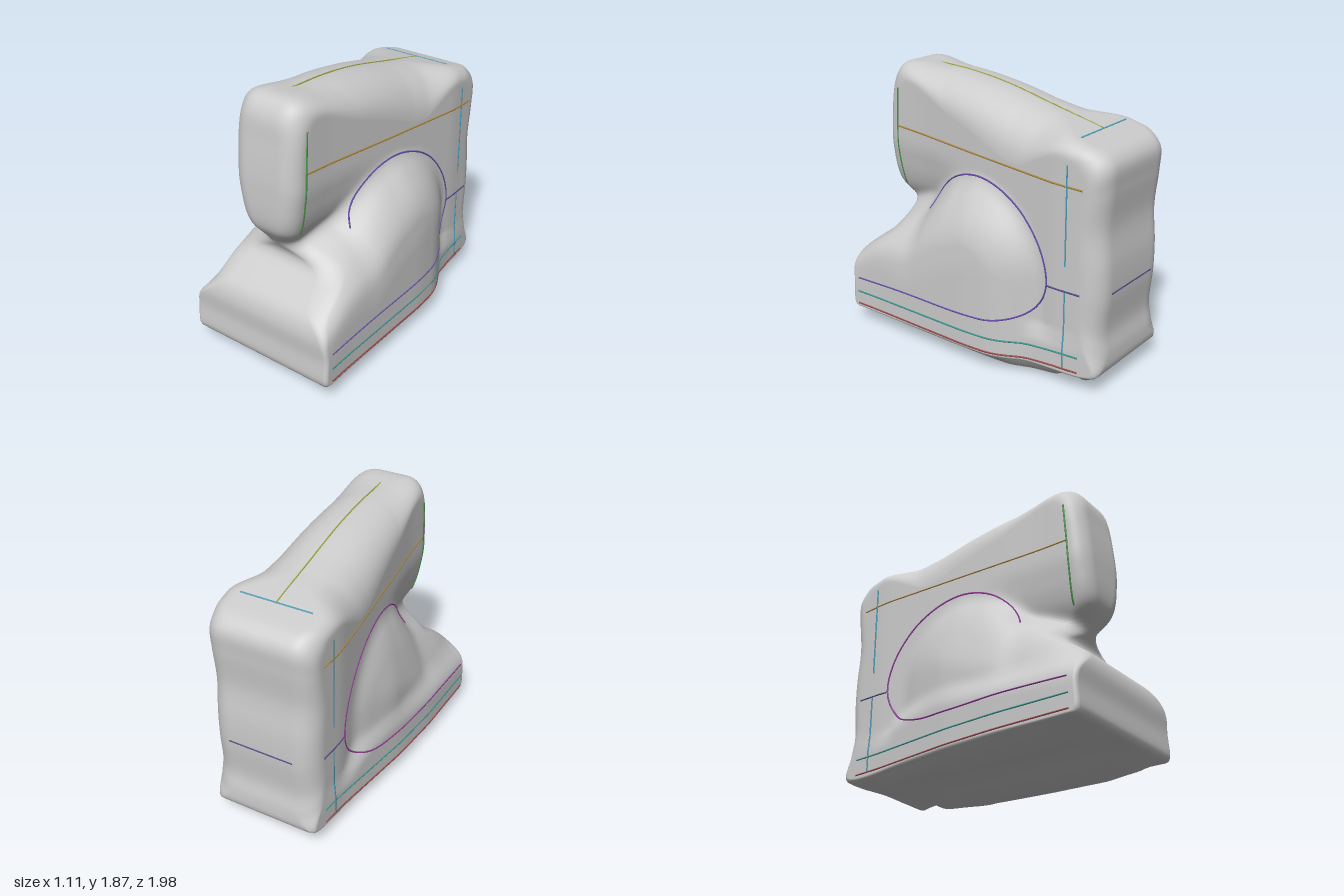
import * as THREE from 'three';

const clamp = THREE.MathUtils.clamp;
const step = (a, b, v) => { const t = clamp((v - a) / (b - a), 0, 1); return t * t * (3 - 2 * t); };

// Piecewise linear lookup through [position, value] pairs
function ramp(pairs, v) {
  if (v <= pairs[0][0]) return pairs[0][1];
  for (let i = 1; i < pairs.length; i++) {
    const [a, p] = pairs[i - 1], [b, q] = pairs[i];
    if (v <= b) return p + (q - p) * (v - a) / (b - a);
  }
  return pairs[pairs.length - 1][1];
}

// Side outline as [z, y], from the front of the base, up and round the back
const OUTLINE = [
  [0.985, 0.14], [0.98, 0.3], [0.985, 0.45], [0.95, 0.55], [0.85, 0.64], [0.75, 0.72], [0.725, 0.78],
  [0.77, 0.87], [0.82, 0.94], [0.875, 1.03], [0.89, 1.3], [0.865, 1.6], [0.835, 1.78], [0.76, 1.86],
  [0.5, 1.85], [0.3, 1.84], [0, 1.8], [-0.4, 1.71], [-0.75, 1.63], [-0.93, 1.57], [-0.985, 1.5],
  [-0.985, 1.35], [-0.965, 1.1], [-0.985, 0.85], [-0.985, 0.65], [-0.965, 0.4], [-0.985, 0.25],
  [-0.975, 0.14], [-0.9, 0.11], [-0.4, 0.11], [0.2, 0.11], [0.9, 0.11], [0.97, 0.115],
];
const CENTRE = [-0.1, 0.85];

// Half-widths of the arm and the base along z, and how far the head narrows downwards
const ARM = [[-0.97, 0.37], [-0.65, 0.385], [0, 0.32], [0.55, 0.26], [0.8, 0.245], [0.88, 0.235]];
const BASE = [[-0.97, 0.37], [-0.65, 0.4], [0, 0.5], [0.4, 0.535], [0.95, 0.55]];
const HEAD_TAPER = [[0.86, 0.35], [0.92, 0.55], [0.98, 0.72], [1.1, 0.87], [1.3, 1]];

// Half-width of the swelling against distance from its core (1 = the arch line)
const DOME = {
  1: [[0, 0.545], [0.36, 0.53], [0.56, 0.49], [0.72, 0.435], [0.9, 0.36], [1, 0.29], [1.25, 0.1]],
  '-1': [[0, 0.465], [0.2, 0.445], [0.54, 0.4], [0.8, 0.35], [1, 0.29], [1.25, 0.1]],
};
// Height of the swelling's upper edge along z, and how abruptly it rounds over towards the toe
const CREST = [[0, 1.255], [0.2, 1.17], [0.35, 1.03], [0.45, 0.91], [0.6, 0.85], [0.75, 0.78], [0.85, 0.71], [0.95, 0.63]];
const ABRUPT = [[0.2, 1], [0.5, 1.3], [0.9, 2.4]];

function rawWidth(side, z, y) {
  const taper = 1 + (ramp(HEAD_TAPER, y) - 1) * step(0.05, 0.45, z);
  const arm = ramp(ARM, z) * taper;
  const rise = Math.max(0.555 - (ramp(CREST, z) - y) * ramp(ABRUPT, z), 0);
  const rho = Math.hypot(Math.min(z + 0.05, 0), rise) / 0.555;
  const flare = side < 0 ? 0.08 * step(0.54, 0.35, y) : 0;
  const limit = side < 0 ? ramp(BASE, z) : 0.55;
  const swell = Math.min(ramp(DOME[side], rho) + flare, limit);
  const base = ramp(BASE, z) * step(0.46, 0.34, y);
  return Math.max(arm, swell, base);
}

// Averaged over a small patch so the forms melt into each other
function width(side, z, y) {
  let sum = 0;
  for (let i = -2; i <= 2; i++)
    for (let j = -2; j <= 2; j++) sum += rawWidth(side, z + i * 0.024, y + j * 0.024);
  return sum / 25;
}

// Edge rounding: tight on the base, medium on head and back corners, broad along the arm's top
function edgeRadius(z, y) {
  const soft = 0.08 * Math.max(step(0.35, 0.7, y), step(-0.5, -0.9, z) * step(0.1, 0.25, y));
  const back = 0.03 * step(-0.85, -0.95, z) * step(0.15, 0.3, y);
  const headTop = 0.03 * step(1.6, 1.8, y);
  const crown = 0.18 * step(1.58, 1.67, y) * step(-0.78, -0.45, z) * step(0.8, 0.1, z);
  return 0.03 + soft + back + headTop + crown;
}

// Sag of the underside, two uneven lobes
const LOBES = [[-0.55, 0], [-0.45, 0.3], [-0.25, 0.65], [-0.1, 0.4], [0, 0.1], [0.15, 0.75],
  [0.3, 1], [0.42, 0.7], [0.54, 0]];
const SAG = [[-0.97, 0], [-0.86, 0.4], [-0.75, 0.1], [-0.65, 0.6], [-0.4, 0.85], [0.2, 1], [0.6, 1], [0.8, 0.75], [0.96, 0]];

function bodyGeometry() {
  const curve = new THREE.CatmullRomCurve3(OUTLINE.map(([z, y]) => new THREE.Vector3(0, y, z)), true);
  const N = 260, INNER = 36, ROUND = 9, ACROSS = 18;
  const outline = curve.getSpacedPoints(N).slice(0, N);
  const pos = [], index = [];
  let rows = 0;
  for (const p of outline) {
    const dz = p.z - CENTRE[0], dy = p.y - CENTRE[1], len = Math.hypot(dz, dy);
    const halfLoop = (side) => {
      const r = Math.min(edgeRadius(p.z, p.y), 0.9 * width(side, p.z, p.y));
      const list = [];
      const put = (s, drop) => {
        const z = CENTRE[0] + dz * s, y = CENTRE[1] + dy * s;
        list.push([side * (width(side, z, y) - drop), y, z]);
      };
      for (let k = 0; k < INNER; k++) put((1 - r / len) * k / INNER, 0);
      for (let k = 0; k <= ROUND; k++) {
        const a = (k / ROUND) * Math.PI / 2;
        put(1 - (r / len) * (1 - Math.sin(a)), r * (1 - Math.cos(a)));
      }
      return list;
    };
    const left = halfLoop(1), right = halfLoop(-1).reverse();
    const from = left[left.length - 1][0], to = right[0][0];
    const strip = [];
    for (let k = 1; k < ACROSS; k++) {
      const x = from + (to - from) * k / ACROSS;
      const sag = p.y < 0.13 ? 0.11 * ramp(LOBES, x) * ramp(SAG, p.z) : 0;
      strip.push([x, p.y - sag, p.z]);
    }
    const row = [...left, ...strip, ...right];
    rows = row.length;
    row.forEach((v) => pos.push(...v));
  }
  for (let i = 0; i < N; i++)
    for (let j = 0; j < rows - 1; j++) {
      const a = i * rows + j, b = ((i + 1) % N) * rows + j;
      index.push(a, b, a + 1, b, b + 1, a + 1);
    }
  const g = new THREE.BufferGeometry();
  g.setAttribute('position', new THREE.Float32BufferAttribute(pos, 3));
  g.setIndex(index);
  g.computeVertexNormals();
  return g;
}

// Thin coloured seam through a list of [x, y, z] points
function seam(name, color, points) {
  const curve = new THREE.CatmullRomCurve3(points.map((p) => new THREE.Vector3(...p)));
  const mesh = new THREE.Mesh(new THREE.TubeGeometry(curve, 70, 0.006, 5),
    new THREE.MeshStandardMaterial({ color }));
  mesh.name = name;
  return mesh;
}

// Seam lying on one flank, following [z, y] points
function flankSeam(name, color, side, path) {
  const flat = new THREE.CatmullRomCurve3(path.map(([z, y]) => new THREE.Vector3(0, y, z)));
  return seam(name, color, flat.getSpacedPoints(36).map((p) => [side * width(side, p.z, p.y), p.y, p.z]));
}

export function createModel() {
  const model = new THREE.Group();
  const body = new THREE.Mesh(bodyGeometry(), new THREE.MeshStandardMaterial({ color: 0xcccccc }));
  body.name = 'body';
  model.add(body);

  // Seams on both flanks
  const arch = [[0.92, 0.345], [0.5, 0.36], [0, 0.365], [-0.3, 0.39], [-0.5, 0.48], [-0.6, 0.66], [-0.56, 0.88],
    [-0.4, 1.1], [-0.2, 1.22], [0, 1.255], [0.2, 1.2], [0.35, 1.07], [0.43, 0.92]];
  for (const side of [1, -1]) {
    model.add(
      flankSeam('archSeam', side > 0 ? 0x6a4fb0 : 0x9a3fa0, side, arch),
      flankSeam('armSeam', 0xb08a40, side, [[0.77, 1.43], [0, 1.395], [-0.85, 1.36]]),
      flankSeam('baseSeam', 0x3f9a94, side, [[0.93, 0.24], [0, 0.245], [-0.85, 0.25]]),
      flankSeam('lowerSeam', 0xa04a4a, side, [[0.93, 0.145], [0, 0.145], [-0.85, 0.145]]),
      flankSeam('columnSeam', 0x4fa3c0, side, [[-0.74, 0.15], [-0.74, 0.68]]),
      flankSeam('upperColumnSeam', 0x4fa3c0, side, [[-0.74, 0.85], [-0.74, 1.5]]),
      flankSeam('headSeam', 0x4a9a4a, side, [[0.76, 0.99], [0.77, 1.3], [0.75, 1.7]]),
      flankSeam('rearSeam', 0x55508f, side, [[-0.61, 0.68], [-0.85, 0.68]]));
  }

  // Seams along the middle of the arm's top, across its back end, and across the back
  model.add(
    seam('topSeam', 0xa0a840, [[0, 1.858, 0.7], [0, 1.84, 0.3], [0, 1.8, 0], [0, 1.71, -0.4], [0, 1.63, -0.75]]),
    seam('topCrossSeam', 0x4fa3c0, [[0.25, 1.632, -0.74], [-0.25, 1.632, -0.74]]),
    seam('backSeam', 0x55508f, [[0.23, 0.68, -0.985], [-0.23, 0.68, -0.985]]));
  return model;
}
